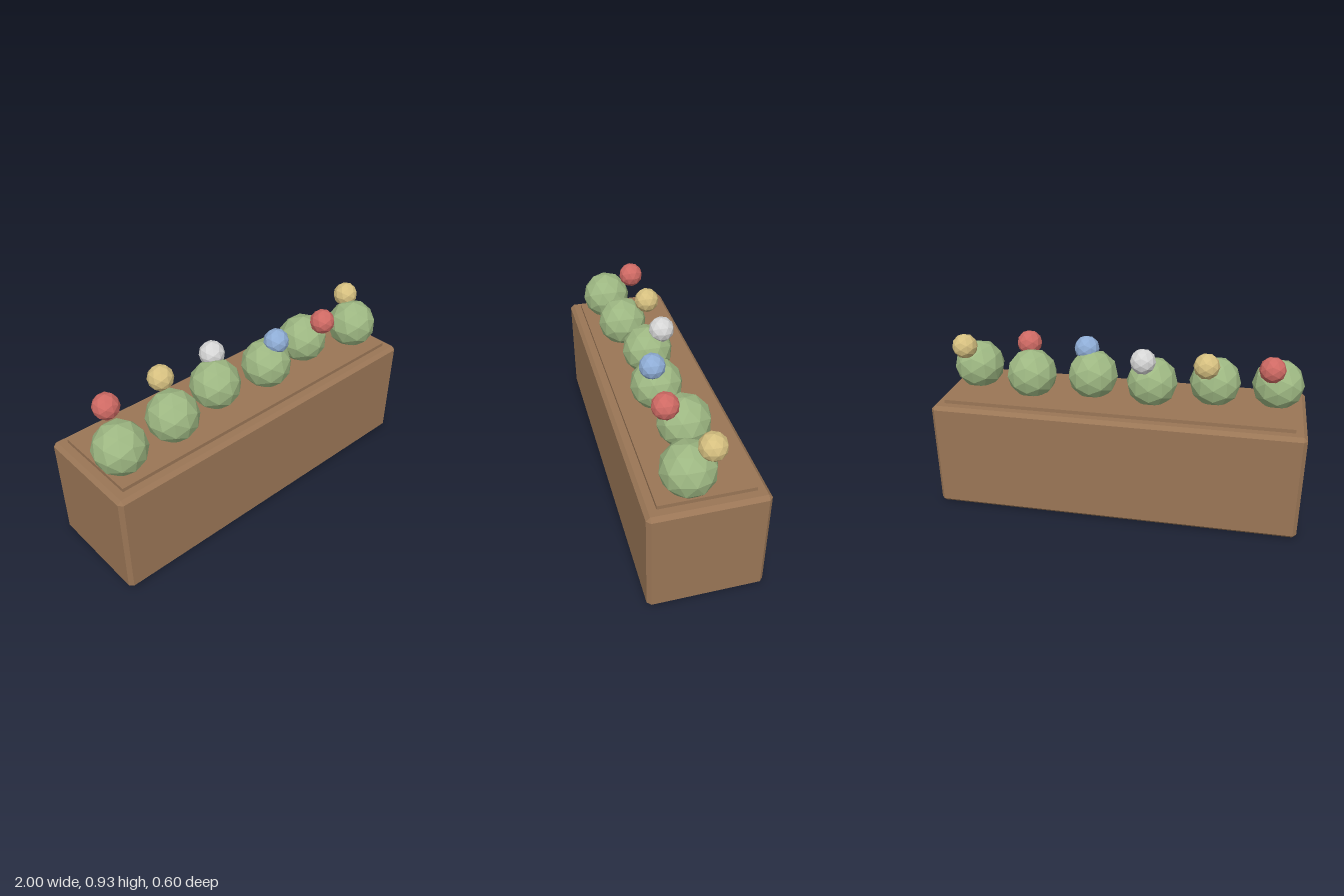
import * as THREE from 'three';
import { ConvexGeometry } from 'three/addons/geometries/ConvexGeometry.js';

function material(name, color, flatShading = false) {
  const m = new THREE.MeshStandardMaterial({ color, flatShading });
  m.name = name;
  return m;
}

// Box with every edge cut at 45 degrees
function chamferedBox(w, h, d, c) {
  const half = [w / 2, h / 2, d / 2];
  const points = [];
  for (const sx of [-1, 1]) for (const sy of [-1, 1]) for (const sz of [-1, 1]) {
    for (let axis = 0; axis < 3; axis++) {
      const p = half.map((v, i) => (i === axis ? v : v - c));
      points.push(new THREE.Vector3(p[0] * sx, p[1] * sy, p[2] * sz));
    }
  }
  return new ConvexGeometry(points);
}

export function createModel() {
  const model = new THREE.Group();
  model.name = 'flowerPlanter';

  const wood = material('brown wood', 0x9a7656);
  const leaf = material('leaf green', 0x9db782, true);
  const red = material('red petals', 0xcf6a64, true);
  const yellow = material('yellow petals', 0xd6c080, true);
  const white = material('white petals', 0xd6d6d6, true);
  const blue = material('blue petals', 0x8fadd6, true);

  function add(name, geometry, mat, x, y, z) {
    const mesh = new THREE.Mesh(geometry, mat);
    mesh.name = name;
    mesh.position.set(x, y, z);
    model.add(mesh);
  }

  // Planter box and the raised bed on top
  add('planterBox', chamferedBox(2, 0.6, 0.6, 0.02), wood, 0, 0.3, 0);
  add('raisedBed', new THREE.BoxGeometry(1.88, 0.04, 0.48), wood, 0, 0.6, 0);

  // Row of bushes, each with one blossom: [bush z, blossom z, blossom colour]
  const bush = new THREE.IcosahedronGeometry(0.14, 1);
  const blossom = new THREE.IcosahedronGeometry(0.07, 1);
  const plants = [
    [0.09, -0.06, red],
    [0.063, -0.075, yellow],
    [-0.003, -0.073, white],
    [0.035, 0.067, blue],
    [-0.015, 0.092, red],
    [0.065, -0.033, yellow],
  ];
  plants.forEach(([bushZ, blossomZ, petals], i) => {
    const x = -0.84 + i * 0.336;
    add(`bush${i + 1}`, bush, leaf, x, 0.72, bushZ);
    add(`blossom${i + 1}`, blossom, petals, x + 0.04, 0.86, blossomZ);
  });

  return model;
}
